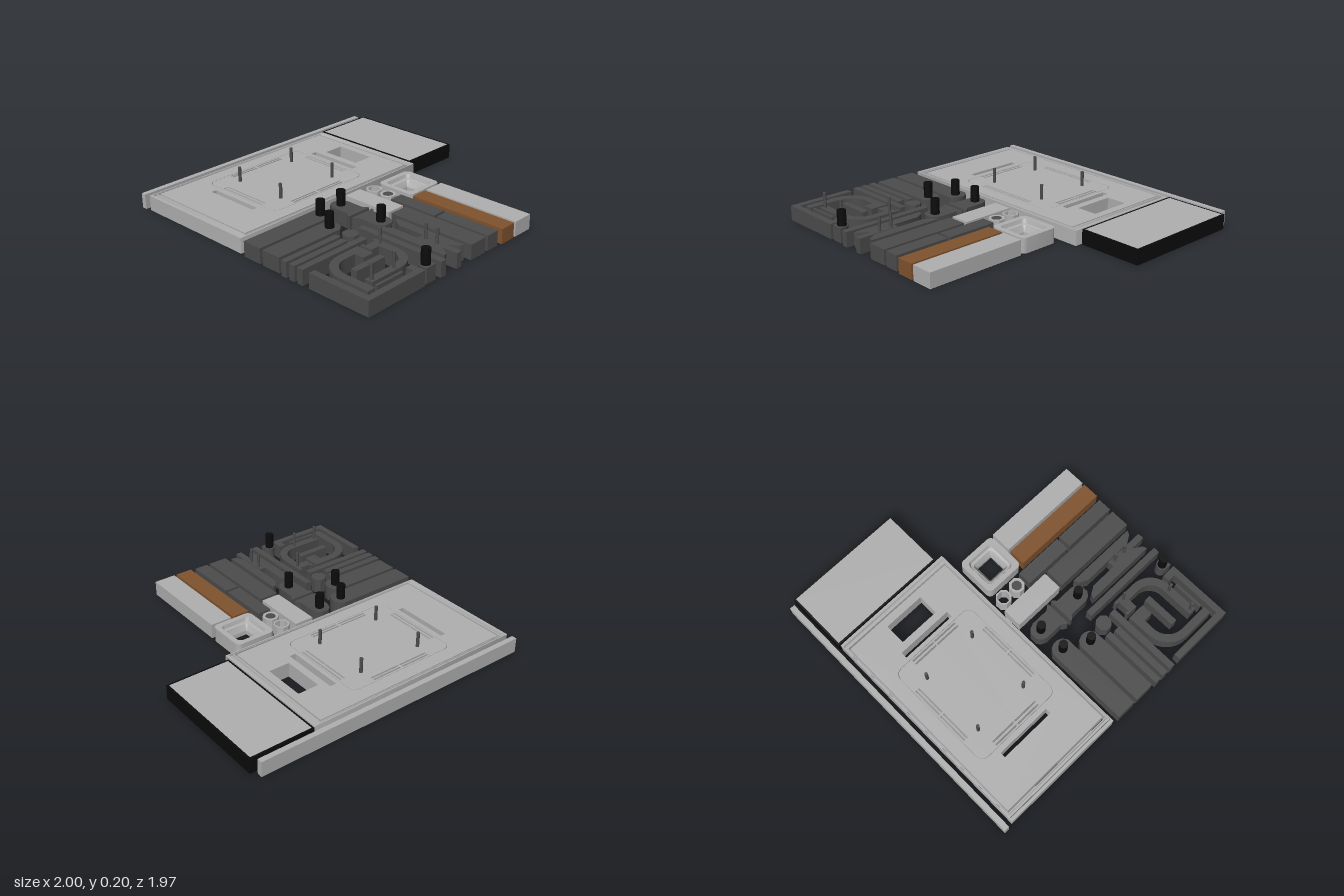
import * as THREE from 'three';
import { toCreasedNormals } from 'three/addons/utils/BufferGeometryUtils.js';

const H = 0.1; // common part height

function material(name, color) {
  const m = new THREE.MeshStandardMaterial({ color, side: THREE.DoubleSide });
  m.name = name;
  return m;
}

// Outlines are lists of [x, z] points
const rect = (x0, z0, x1, z1) => [[x0, z0], [x1, z0], [x1, z1], [x0, z1]];

function arc(cx, cz, r, from, to, n) {
  return Array.from({ length: n + 1 }, (_, i) => {
    const a = from + ((to - from) * i) / n;
    return [cx + r * Math.cos(a), cz + r * Math.sin(a)];
  });
}

function roundRect(cx, cz, hx, hz, r, n = 5) {
  const q = Math.PI / 2;
  return [[1, 1], [-1, 1], [-1, -1], [1, -1]].flatMap(([sx, sz], i) =>
    arc(cx + sx * (hx - r), cz + sz * (hz - r), r, i * q, (i + 1) * q, n));
}

const ngon = (cx, cz, r, n = 8) =>
  arc(cx, cz, r, Math.PI / n, Math.PI / n + 2 * Math.PI, n).slice(0, n);

// Upright prism with a top but no underside
function prism(outline, holes = [], y0 = 0, y1 = H) {
  const vec = (pts) => pts.map(([x, z]) => new THREE.Vector2(x, -z));
  const shape = new THREE.Shape(vec(outline));
  shape.holes = holes.map((h) => new THREE.Path(vec(h)));
  const solid = new THREE.ExtrudeGeometry(shape, { depth: y1 - y0, bevelEnabled: false });
  solid.rotateX(-Math.PI / 2).translate(0, y0, 0);
  const p = solid.attributes.position.array, kept = [];
  for (let i = 0; i < p.length; i += 9) {
    if (Math.max(p[i + 1], p[i + 4], p[i + 7]) > y0 + 1e-4) kept.push(...p.slice(i, i + 9));
  }
  const g = new THREE.BufferGeometry();
  g.setAttribute('position', new THREE.Float32BufferAttribute(kept, 3));
  g.computeVertexNormals();
  return toCreasedNormals(g, 0.6);
}

// Skin over rounded rectangles [halfX, halfZ, radius, y]
function loft(cx, cz, rings) {
  const rows = rings.map(([hx, hz, r, y]) =>
    roundRect(cx, cz, hx, hz, r).map(([x, z]) => [x, y, z]));
  const n = rows[0].length, pos = rows.flat(2), index = [];
  for (let k = 0; k < rows.length - 1; k++) {
    for (let i = 0; i < n; i++) {
      const a = k * n + i, b = k * n + ((i + 1) % n);
      index.push(a, a + n, b, b, a + n, b + n);
    }
  }
  const g = new THREE.BufferGeometry();
  g.setAttribute('position', new THREE.Float32BufferAttribute(pos, 3));
  g.setIndex(index);
  g.computeVertexNormals();
  return toCreasedNormals(g, 0.5);
}

// Quarter bend with two straight ends; s = -1 turns it half round
function bend(cx, cz, s, R, w, down, along) {
  const side = (r) => [[-r, down], ...arc(0, 0, r, Math.PI, 1.5 * Math.PI, 10), [along, -r]];
  return [...side(R), ...side(R - w).reverse()].map(([x, z]) => [cx + s * x, cz + s * z]);
}

export function createModel() {
  const group = new THREE.Group();
  const light = material('light grey', 0xb0b0b0);
  const dark = material('dark grey', 0x4c4c4c);
  const brown = material('brown', 0x80532e);
  const black = material('black', 0x0b0b0b);
  const add = (name, geometry, mat) => {
    const mesh = new THREE.Mesh(geometry, mat);
    mesh.name = name;
    group.add(mesh);
  };
  const peg = (name, x, z, r, mat) =>
    add(name, new THREE.CylinderGeometry(r, r, H, 12).translate(x, 1.5 * H, z), mat);

  // Back rail in five lengths
  const cuts = [-0.99, -0.68, -0.33, 0.297, 0.655, 0.965];
  for (let i = 0; i < 5; i++) {
    add('backRail', prism(rect(cuts[i], -0.99, cuts[i + 1], -0.955)), light);
  }

  // Large tray: grooved frame, slotted panel and inset plate
  const tx = -0.2125, tz = -0.486;
  add('trayFrame', loft(tx, tz, [
    [0.7675, 0.436, 0.002, 0], [0.7675, 0.436, 0.002, H], [0.748, 0.429, 0.002, H],
    [0.742, 0.427, 0.002, 0.085], [0.728, 0.421, 0.002, 0.085], [0.723, 0.419, 0.002, H],
    [0.716, 0.416, 0.002, H], [0.716, 0.416, 0.002, 0],
  ]), light);
  add('trayPanel', prism(rect(-0.917, -0.895, 0.493, -0.082), [
    roundRect(tx, tz, 0.391, 0.319, 0.055),
    rect(-0.676, -0.682, -0.639, -0.291),
    rect(0.206, -0.682, 0.249, -0.291),
    rect(0.297, -0.628, 0.441, -0.345),
  ]), light);
  const slots = [];
  for (const s of [-1, 1]) {
    for (const t of [-1, 1]) {
      for (const d of [0.277, 0.299]) slots.push(roundRect(tx + t * 0.112, tz + s * d, 0.106, 0.006, 0.001, 1));
      for (const d of [0.346, 0.372]) slots.push(roundRect(tx + s * d, tz + t * 0.093, 0.006, 0.09, 0.001, 1));
      peg('trayPin', tx + s * 0.228, tz + t * 0.194, 0.011, dark);
    }
  }
  add('trayPlate', prism(roundRect(tx, tz, 0.388, 0.316, 0.053), slots), light);

  // Screen block with a black surround
  add('screenSurround', prism(rect(0.563, -0.932, 1, -0.095), [rect(0.575, -0.92, 0.988, -0.107)]), black);
  add('screen', prism(rect(0.575, -0.92, 0.988, -0.107), [], 0.094), light);

  // Two arms with clipped round ends
  for (const [x, z] of [[-0.375, 0.058], [-0.46, 0.218]]) {
    const h = 0.068;
    add('arm', prism([[-0.99, z - h], [x - 0.045, z - h], [x - 0.012, z - 0.045], [x, z - 0.015],
      [x, z + 0.015], [x - 0.012, z + 0.045], [x - 0.045, z + h], [-0.99, z + h]]), dark);
  }

  // Plain bars and blocks
  const bars = [
    ['longBar', -1, 0.313, -0.57, 0.355, dark], ['longBar', -1, 0.377, -0.585, 0.42, dark],
    ['longBar', -1, 0.441, -0.484, 0.484, dark], ['shortBar', -0.81, 0.666, -0.58, 0.709, dark],
    ['thinBar', -0.853, 0.88, -0.644, 0.897, dark], ['cornerBlock', -0.671, 0.508, -0.591, 0.63, dark],
    ['uprightBar', -0.415, 0.345, -0.372, 0.874, dark], ['uprightBarFoot', -0.415, 0.874, -0.372, 0.976, dark],
    ['centreBlock', -0.281, 0.69, -0.233, 0.874, dark], ['smallBlock', -0.275, 0.874, -0.233, 0.976, dark],
    ['lightBlock', -0.136, -0.024, -0.003, 0.34, light], ['darkBlock', -0.136, 0.361, -0.003, 0.971, dark],
    ['darkBlock', 0.019, 0.222, 0.115, 0.57, dark], ['darkBlock', 0.019, 0.591, 0.115, 0.971, dark],
    ['brownBlock', 0.147, 0.291, 0.264, 0.981, brown], ['lightBlock', 0.281, 0.291, 0.43, 0.981, light],
  ];
  for (const [name, x0, z0, x1, z1, mat] of bars) add(name, prism(rect(x0, z0, x1, z1)), mat);

  // Corner bracket, bends and small fittings
  add('cornerBracket', prism([[-0.998, 0.532], [-0.955, 0.532], [-0.955, 0.928], [-0.596, 0.928],
    [-0.596, 0.874], [-0.548, 0.874], [-0.548, 0.971], [-0.998, 0.971]]), dark);
  add('bend', prism(bend(-0.748, 0.69, 1, 0.18, 0.054, 0.212, 0.077)), dark);
  add('bend', prism(bend(-0.612, 0.693, -1, 0.16, 0.053, 0.083, 0.23)), dark);
  add('notchedBracket', prism([[-0.57, 0.513], [-0.553, 0.513], [-0.553, 0.537], [-0.473, 0.537],
    [-0.473, 0.513], [-0.452, 0.513], [-0.452, 0.61], [-0.505, 0.61], [-0.505, 0.596], [-0.57, 0.596]]), dark);
  add('roundDisc', prism(ngon(-0.5, 0.367, 0.052)), dark);
  add('archedFoot', prism([...arc(-0.489, 0.925, 0.038, Math.PI, 2 * Math.PI, 6),
    [-0.449, 0.965], [-0.529, 0.965]]), dark);

  // Two flared brackets facing each other
  for (const [s, end, neck, edge] of [[1, -0.012, 0.167, 0.206], [-1, 0.447, 0.262, 0.23]]) {
    const mid = -0.254, half = [[0.025, end], [0.05, end + s * 0.018], [0.065, end + s * 0.055],
      [0.065, neck], [0.088, edge - s * 0.012], [0.088, edge]];
    add('flaredBracket', prism([...half.map(([x, z]) => [mid + x, z]),
      ...half.map(([x, z]) => [mid - x, z]).reverse()]), dark);
  }

  // Mirrored side cheeks
  for (const s of [-1, 1]) {
    add('sideCheek', prism([[0.088, 0.438], [0.055, 0.452], [0.025, 0.505], [0.025, 0.874],
      [0.06, 0.93], [0.088, 0.94]].map(([x, z]) => [-0.254 + s * x, z])), dark);
  }

  // Light rings, one with a dark core
  add('ring', prism(ngon(0.067, 0.035, 0.053), [ngon(0.067, 0.035, 0.041)]), light);
  add('ring', prism(ngon(0.067, 0.153, 0.053), [ngon(0.067, 0.153, 0.034, 12)]), light);
  add('ringCore', prism(ngon(0.067, 0.153, 0.032, 12)), dark);

  // Square bezel sloping to its opening
  add('bezel', loft(0.291, 0.134, [
    [0.141, 0.141, 0.035, 0], [0.141, 0.141, 0.035, H], [0.106, 0.106, 0.03, H],
    [0.098, 0.098, 0.028, 0.075], [0.083, 0.083, 0.022, 0.07], [0.062, 0.062, 0.004, 0.03], [0.062, 0.062, 0.004, 0],
  ]), light);

  // Black pegs and small dark pins
  for (const [x, z] of [[-0.44, 0.058], [-0.525, 0.22], [-0.254, 0.05], [-0.254, 0.383], [-0.489, 0.925]]) {
    peg('blackPeg', x, z, 0.029, black);
  }
  for (const [x, z] of [[-0.82, 0.826], [-0.64, 0.826], [-0.475, 0.575], [-0.254, 0.73], [-0.254, 0.815]]) {
    peg('smallPin', x, z, 0.01, dark);
  }
  return group;
}
